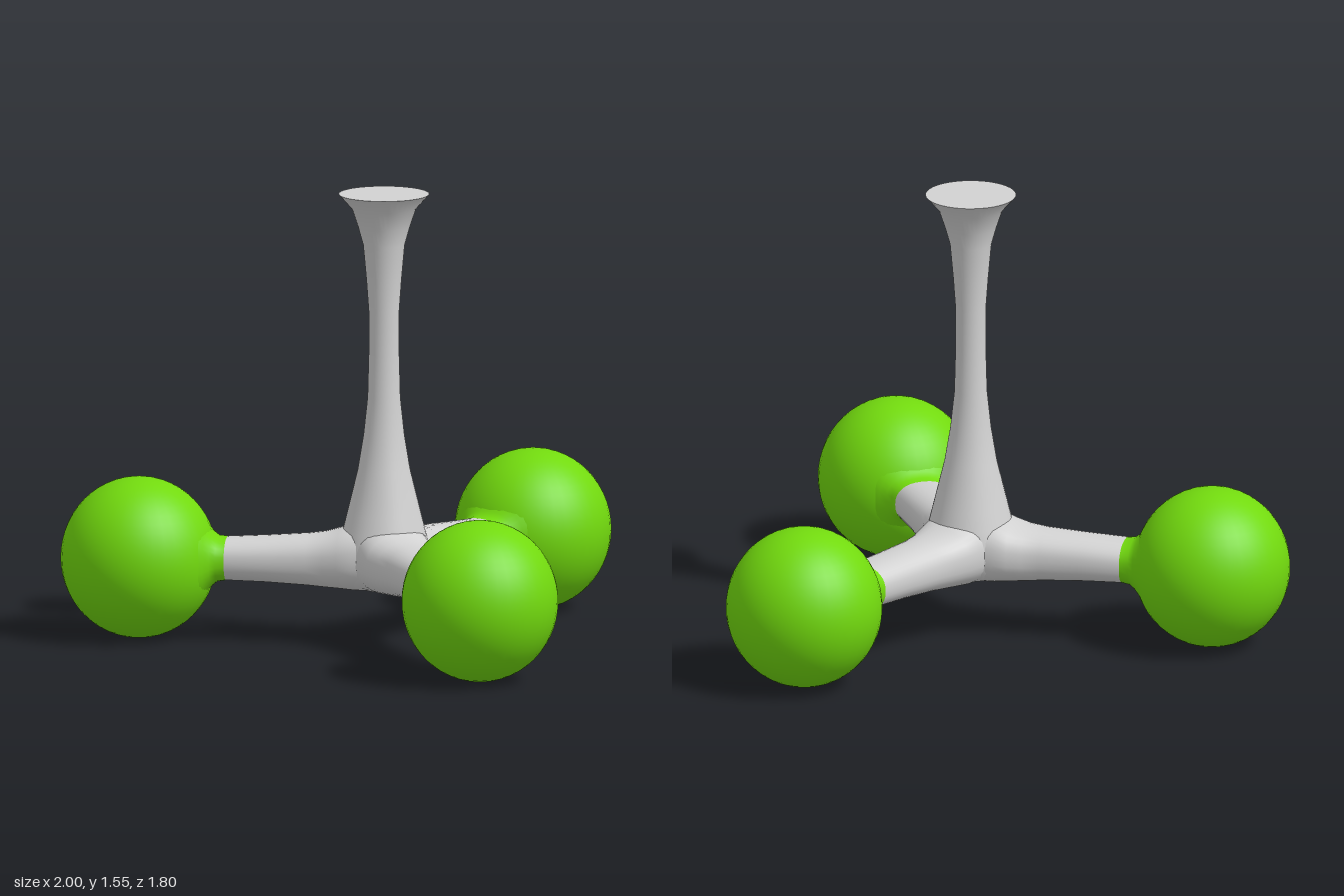
import * as THREE from 'three';

const grey = new THREE.MeshStandardMaterial({ color: 0xd2d2d2 });
grey.name = 'pale grey';
const green = new THREE.MeshStandardMaterial({ color: 0x72da0e });
green.name = 'bright green';

const HUB_Z = 0.21, BALL_DISTANCE = 0.844, BALL_Y = 0.279;

// Lofts rounded sections along +z; each station is [z, half width, bottom y, top y]
function loft(stations, sides = 32) {
  const positions = [], index = [];
  const round = (v) => Math.sign(v) * Math.abs(v) ** 0.85;
  stations.forEach(([z, w, low, high], row) => {
    for (let i = 0; i < sides; i++) {
      const a = (i / sides) * Math.PI * 2;
      positions.push(w * round(Math.cos(a)), (low + high) / 2 + ((high - low) / 2) * round(Math.sin(a)), z);
      if (row === 0) continue;
      const j = (i + 1) % sides, p = (row - 1) * sides, q = row * sides;
      index.push(p + i, p + j, q + j, p + i, q + j, q + i);
    }
  });
  const geometry = new THREE.BufferGeometry();
  geometry.setAttribute('position', new THREE.Float32BufferAttribute(positions, 3));
  geometry.setIndex(index);
  geometry.computeVertexNormals();
  return geometry;
}

function addMesh(parent, name, geometry, material) {
  const mesh = new THREE.Mesh(geometry, material);
  mesh.name = name;
  parent.add(mesh);
  return mesh;
}

export function createModel() {
  const model = new THREE.Group();
  model.name = 'threeBallStand';

  // Hub and flared stem in one turned profile
  const profile = [
    [0, 0.18], [0.06, 0.183], [0.11, 0.2], [0.145, 0.235], [0.158, 0.28], [0.156, 0.33],
    [0.143, 0.385], [0.127, 0.45], [0.09, 0.6], [0.07, 0.72], [0.056, 0.85], [0.052, 1.0],
    [0.052, 1.15], [0.06, 1.26], [0.071, 1.38], [0.088, 1.44], [0.11, 1.505], [0.155, 1.556],
  ].map(([r, y]) => new THREE.Vector2(r, y));
  addMesh(model, 'stem', new THREE.LatheGeometry(profile, 40), grey).position.z = HUB_Z;

  // Flat top of the stem
  const cap = addMesh(model, 'stemTop', new THREE.CircleGeometry(0.155, 40), grey);
  cap.rotation.x = -Math.PI / 2;
  cap.position.set(0, 1.556, HUB_Z);

  // Shared shapes for the three arms
  const armShape = loft([
    [0, 0.13, 0.18, 0.42], [0.1, 0.138, 0.183, 0.415], [0.15, 0.13, 0.188, 0.395],
    [0.2, 0.115, 0.191, 0.381], [0.26, 0.104, 0.196, 0.373], [0.4, 0.1, 0.204, 0.363],
    [0.54, 0.1, 0.208, 0.355],
  ]);
  const collarShape = loft([
    [0.54, 0.1, 0.208, 0.355], [0.57, 0.104, 0.203, 0.358], [0.59, 0.116, 0.186, 0.373],
    [0.61, 0.136, 0.162, 0.396], [0.635, 0.16, 0.13, 0.43], [0.67, 0.19, 0.09, 0.468],
  ]);
  const ballShape = new THREE.SphereGeometry(0.268, 40, 28).scale(1, 1.035, 1);

  // Arms, collars and balls, evenly spread around the hub
  ['left', 'back', 'right'].forEach((side, i) => {
    const leg = new THREE.Group();
    leg.name = side + 'Leg';
    leg.position.z = HUB_Z;
    leg.rotation.y = Math.PI / 3 + (i * Math.PI * 2) / 3;
    addMesh(leg, 'arm', armShape, grey);
    addMesh(leg, 'collar', collarShape, green);
    addMesh(leg, 'ball', ballShape, green).position.set(0, BALL_Y, BALL_DISTANCE);
    model.add(leg);
  });
  return model;
}
